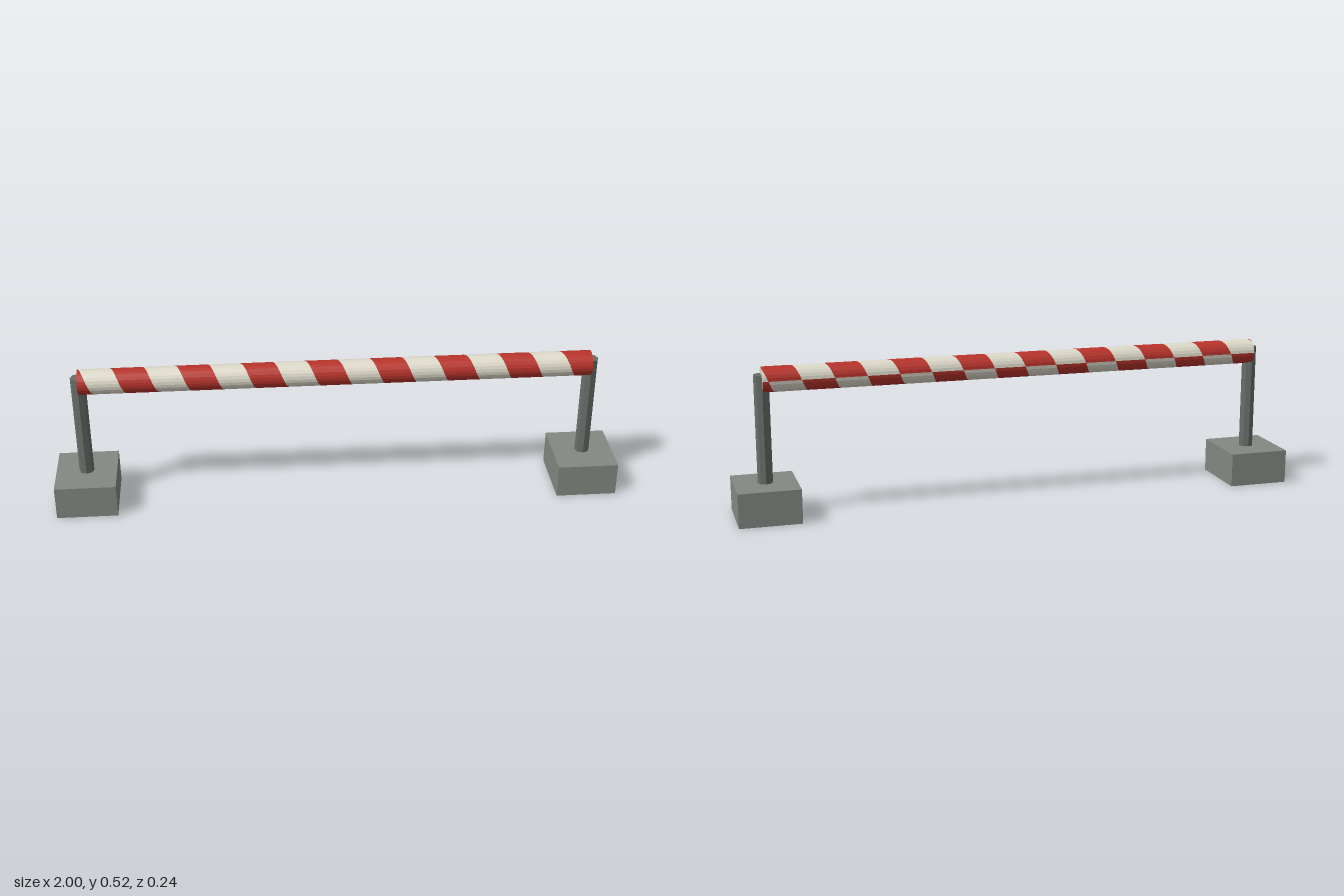
import * as THREE from 'three';

const SPAN = 0.893;          // half length of the bar, also the post positions
const BAR_R = 0.044, BAR_Y = 0.478, SIDES = 24;
const PERIOD = SPAN * 2 / 8; // one red and one cream stripe

// Slanted bands on the bar; each band climbs half a period around the bar,
// with the seam along the back.
function stripeGeometry(offset) {
  const pos = [];
  const clip = x => Math.max(-SPAN, Math.min(SPAN, x));
  const point = (x, t) => [clip(x), -BAR_R * Math.sin(t), BAR_R * Math.cos(t)];
  for (let k = -2; k < 10; k++) {
    const start = t => offset + k * PERIOD + PERIOD / 2 * t / (Math.PI * 2);
    for (let i = 0; i < SIDES; i++) {
      const t0 = -Math.PI + i / SIDES * Math.PI * 2;
      const t1 = -Math.PI + (i + 1) / SIDES * Math.PI * 2;
      const x0 = start(t0), x1 = start(t1), w = PERIOD / 2;
      if (Math.min(x0, x1) >= SPAN || Math.max(x0, x1) + w <= -SPAN) continue;
      const a = point(x0, t0), b = point(x1, t1);
      const c = point(x1 + w, t1), d = point(x0 + w, t0);
      pos.push(...a, ...b, ...c, ...a, ...c, ...d);
    }
  }
  const g = new THREE.BufferGeometry();
  g.setAttribute('position', new THREE.Float32BufferAttribute(pos, 3));
  g.computeVertexNormals();
  return g;
}

export function createModel() {
  const material = (name, color) => {
    const m = new THREE.MeshStandardMaterial({ color });
    m.name = name;
    return m;
  };
  const concrete = material('concrete grey', 0x848982);
  const steel = material('steel grey', 0x686e69);
  const cream = material('cream', 0xdedacb);
  const red = material('red', 0xb9342b);

  const model = new THREE.Group();
  model.name = 'barrier';
  const add = (parent, name, geometry, mat, x = 0, y = 0, z = 0) => {
    const mesh = new THREE.Mesh(geometry, mat);
    mesh.name = name;
    mesh.position.set(x, y, z);
    parent.add(mesh);
    return mesh;
  };

  // Striped bar with plain end discs
  const bar = new THREE.Group();
  bar.name = 'bar';
  bar.position.y = BAR_Y;
  model.add(bar);
  add(bar, 'redStripes', stripeGeometry(-0.745), red);
  add(bar, 'creamStripes', stripeGeometry(-0.745 + PERIOD / 2), cream);

  // Foot, post and bar end on each side
  const footGeo = new THREE.BoxGeometry(0.214, 0.12, 0.24);
  const postGeo = new THREE.CylinderGeometry(0.026, 0.026, 0.376, 8).toNonIndexed();
  postGeo.computeVertexNormals();
  const endGeo = new THREE.CircleGeometry(BAR_R, SIDES);
  for (const [side, s] of [['left', 1], ['right', -1]]) {
    add(model, side + 'Foot', footGeo, concrete, s * SPAN, 0.06);
    add(model, side + 'Post', postGeo, steel, s * SPAN, 0.308);
    add(bar, side + 'BarEnd', endGeo, cream, s * SPAN).rotation.y = s * Math.PI / 2;
  }
  return model;
}
